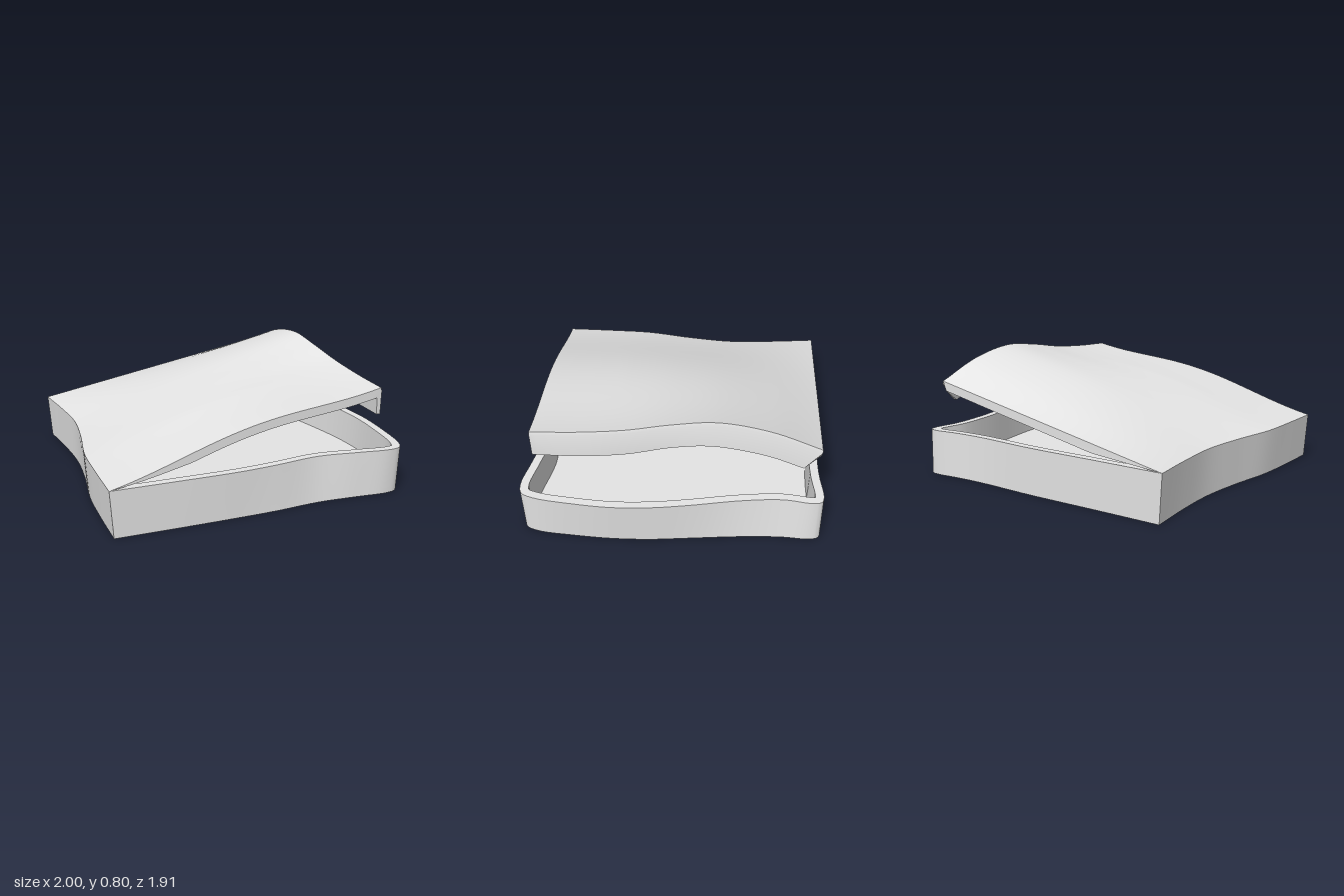
import * as THREE from 'three';
import { toCreasedNormals } from 'three/addons/utils/BufferGeometryUtils.js';

const V = (x, y, z) => new THREE.Vector3(x, y, z);
const spline = (pts) => new THREE.CatmullRomCurve3(pts, false, 'centripetal');

// Skin a row of closed rings and cap both ends; flat() projects a ring so it runs counterclockwise
function loft(rings, flat) {
  const n = rings[0].length, index = [];
  for (let r = 0; r < rings.length - 1; r++) {
    for (let i = 0; i < n; i++) {
      const j = (i + 1) % n, a = r * n, b = a + n;
      index.push(a + i, a + j, b + j, a + i, b + j, b + i);
    }
  }
  const cap = (r, flip) => {
    for (const [a, b, c] of THREE.ShapeUtils.triangulateShape(rings[r].map(flat), [])) {
      const o = r * n;
      if (flip) index.push(o + a, o + c, o + b);
      else index.push(o + a, o + b, o + c);
    }
  };
  cap(0, true);
  cap(rings.length - 1, false);
  const geo = new THREE.BufferGeometry().setFromPoints(rings.flat());
  geo.setIndex(index);
  return toCreasedNormals(geo, 0.6);
}

// Tray outline: front, right and back run as one curve, the left side as another
function outline(y, run, left) {
  const sample = (pts, k) => spline(pts.map(([x, z]) => V(x, y, z))).getPoints((pts.length - 1) * k).slice(0, -1);
  return [...sample(run, 6), ...sample(left, 6)];
}

// Move a counterclockwise outline inward by d, with mitred corners
function inset(ring, d, y) {
  const n = ring.length;
  const inward = (a, b) => V(b.z - a.z, 0, a.x - b.x).normalize();
  return ring.map((p, i) => {
    const m = inward(ring[(i + n - 1) % n], p);
    const k = inward(p, ring[(i + 1) % n]);
    const s = d / (1 + m.dot(k));
    return V(p.x + (m.x + k.x) * s, y, p.z + (m.z + k.z) * s);
  });
}

function trayGeometry() {
  const top = outline(0.3,
    [[-1, 0.94], [-0.6, 0.945], [-0.2, 0.945], [0.05, 0.925], [0.35, 0.89], [0.62, 0.925], [0.83, 0.953], [0.91, 0.932],
      [0.95, 0.85], [0.985, 0.6], [1, 0.35], [0.985, 0.12], [0.95, -0.1], [0.88, -0.45], [0.855, -0.7],
      [0.875, -0.88], [0.86, -0.935], [0.81, -0.95], [0.62, -0.93], [0.4, -0.925], [0, -0.95], [-0.5, -0.95], [-0.97, -0.953]],
    [[-0.97, -0.953], [-0.93, -0.63], [-0.908, -0.32], [-0.94, 0], [-0.992, 0.32], [-1, 0.63], [-1, 0.94]]);
  const bottom = outline(0,
    [[-0.98, 0.935], [-0.6, 0.94], [-0.2, 0.94], [0.05, 0.935], [0.35, 0.915], [0.62, 0.93], [0.82, 0.945], [0.9, 0.925],
      [0.935, 0.85], [0.96, 0.6], [0.97, 0.35], [0.96, 0.12], [0.935, -0.1], [0.895, -0.45], [0.88, -0.7],
      [0.885, -0.88], [0.865, -0.935], [0.81, -0.95], [0.62, -0.935], [0.4, -0.93], [0, -0.945], [-0.5, -0.945], [-0.95, -0.948]],
    [[-0.95, -0.948], [-0.915, -0.63], [-0.9, -0.32], [-0.925, 0], [-0.97, 0.32], [-0.98, 0.63], [-0.98, 0.935]]);
  const rings = [bottom, top, inset(top, 0.055, 0.3), inset(top, 0.06, 0.08)];
  return loft(rings, (p) => new THREE.Vector2(p.x, -p.z));
}

function lidGeometry() {
  // Rails from back to front: hinge line, outer top edge, lower edge of the lip
  const hinge = spline([V(-0.97, 0.3, -0.953), V(-0.93, 0.3, -0.63), V(-0.908, 0.3, -0.32), V(-0.94, 0.3, 0),
    V(-0.992, 0.3, 0.32), V(-1, 0.3, 0.63), V(-1, 0.3, 0.94)]);
  const edge = spline([V(0.755, 0.63, -0.915), V(0.755, 0.75, -0.6), V(0.755, 0.803, -0.28), V(0.76, 0.775, 0),
    V(0.775, 0.73, 0.28), V(0.782, 0.703, 0.57), V(0.785, 0.69, 0.87)]);
  const lip = spline([V(0.77, 0.49, -0.81), V(0.77, 0.575, -0.58), V(0.77, 0.63, -0.25), V(0.77, 0.605, 0),
    V(0.78, 0.545, 0.28), V(0.79, 0.52, 0.57), V(0.79, 0.515, 0.865)]);
  const rows = 48, n = 28, rings = [];
  for (let r = 0; r <= rows; r++) {
    const v = r / rows;
    const h = hinge.getPoint(v), e = edge.getPoint(v), l = lip.getPoint(v);
    const surface = (u) => {
      const p = h.clone().lerp(e, u);
      p.y += 0.065 * Math.sin(Math.PI * u) ** 2 * Math.min(1, v * 1.4);
      return p;
    };
    const ring = [h];
    // Underside, thin at the hinge
    for (let i = 1; i <= n; i++) {
      const u = (i / n) * 0.985, p = surface(u);
      p.y -= 0.058 * Math.min(1, u * 3.5);
      ring.push(p);
    }
    // Lip, then back along the top
    ring.push(V(l.x - 0.025, l.y, l.z), l);
    ring.push(V(e.x + 0.006, e.y - 0.02, e.z));
    for (let i = n; i >= 1; i--) ring.push(surface(i / n));
    rings.push(ring);
  }
  return loft(rings, (p) => new THREE.Vector2(p.x, p.y));
}

export function createModel() {
  const grey = new THREE.MeshStandardMaterial({ color: 0xe5e5e5 });
  grey.name = 'light grey';
  const model = new THREE.Group();
  model.name = 'wavyBox';
  const add = (name, geo) => {
    const mesh = new THREE.Mesh(geo, grey);
    mesh.name = name;
    model.add(mesh);
  };
  add('tray', trayGeometry());
  add('lid', lidGeometry());
  return model;
}
